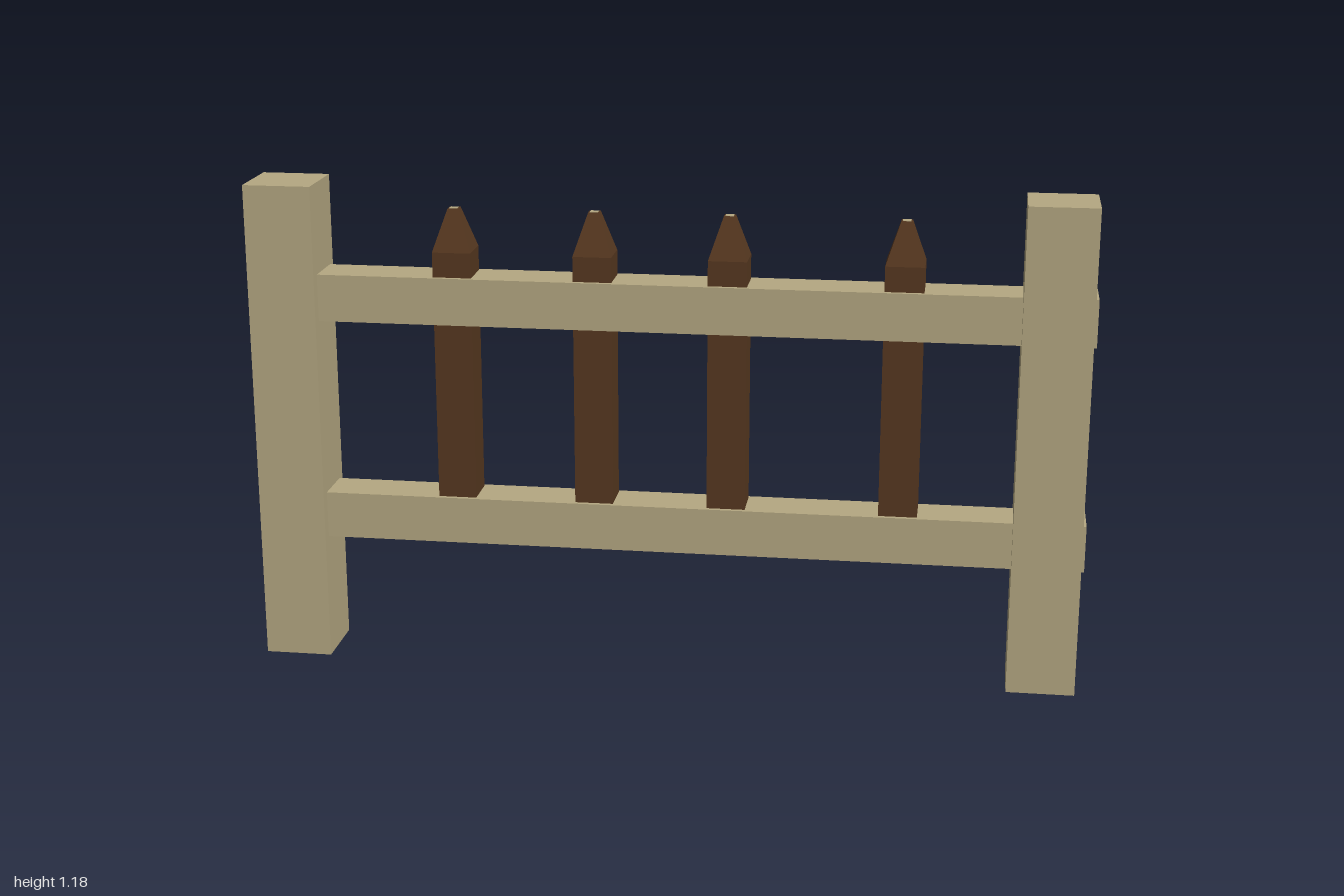
import * as THREE from 'three';

export function createModel() {
  const group = new THREE.Group();
  const paleWood = new THREE.MeshStandardMaterial({ color: 0xb5a882 });
  paleWood.name = 'pale wood';
  const darkWood = new THREE.MeshStandardMaterial({ color: 0x573820 });
  darkWood.name = 'dark wood';

  // Box given by its limits on each axis
  function box(name, x0, x1, y0, y1, z0, z1) {
    const mesh = new THREE.Mesh(new THREE.BoxGeometry(x1 - x0, y1 - y0, z1 - z0), paleWood);
    mesh.position.set((x0 + x1) / 2, (y0 + y1) / 2, (z0 + z1) / 2);
    mesh.name = name;
    group.add(mesh);
  }

  // Square posts
  box('rightPost', -1, -0.837, 0, 1.182, -0.083, 0.083);
  box('leftPost', 0.829, 0.992, 0, 1.182, -0.083, 0.083);

  // Rails, their ends showing slightly through the left post
  box('lowerRail', -0.9, 1, 0.304, 0.418, -0.059, 0.055);
  box('upperRail', -0.9, 1, 0.851, 0.965, -0.059, 0.055);

  // Pickets: square shaft, tapered point and small pale tip
  const half = 0.046, tip = 0.013;
  const bottom = 0.33, shoulder = 1.025, top = 1.125;
  function square(rTop, rBottom, height) {
    const g = new THREE.CylinderGeometry(rTop * Math.SQRT2, rBottom * Math.SQRT2, height, 4).toNonIndexed();
    g.rotateY(Math.PI / 4);
    g.computeVertexNormals();
    return g;
  }
  const shaftGeometry = square(half, half, shoulder - bottom);
  const pointGeometry = square(tip, half, top - shoulder);
  const tipGeometry = new THREE.BoxGeometry(tip * 1.5, 0.002, tip * 1.5);

  for (const x of [-0.511, -0.174, 0.146, 0.557]) {
    const picket = new THREE.Group();
    picket.name = 'picket';
    const shaft = new THREE.Mesh(shaftGeometry, darkWood);
    shaft.name = 'shaft';
    shaft.position.y = (bottom + shoulder) / 2;
    const point = new THREE.Mesh(pointGeometry, darkWood);
    point.name = 'point';
    point.position.y = (shoulder + top) / 2;
    const cap = new THREE.Mesh(tipGeometry, paleWood);
    cap.name = 'tip';
    cap.position.y = top;
    picket.add(shaft, point, cap);
    picket.position.set(x, 0, -0.002);
    group.add(picket);
  }
  return group;
}
